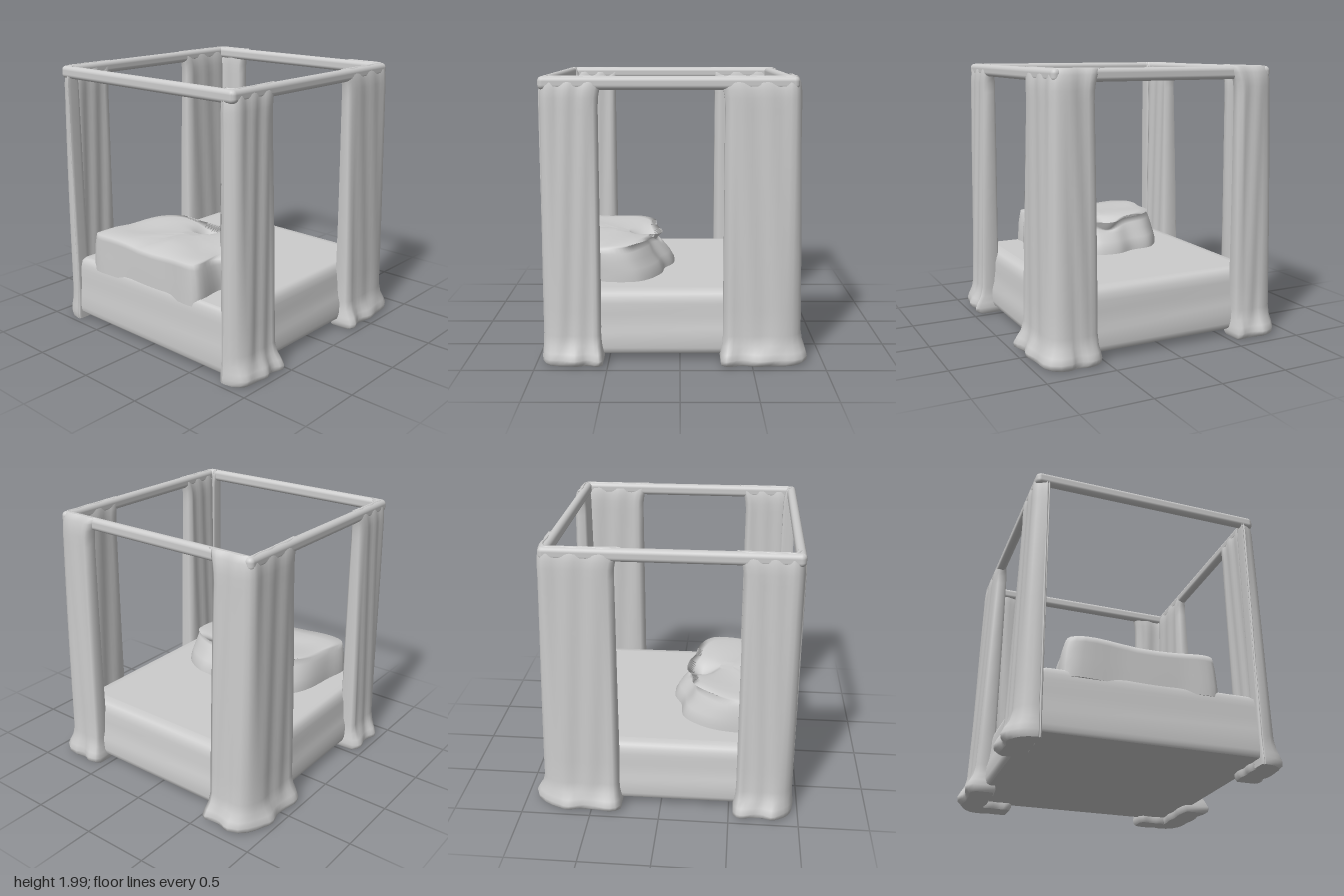
import * as THREE from 'three';
import { RoundedBoxGeometry } from 'three/addons/geometries/RoundedBoxGeometry.js';

const material = new THREE.MeshStandardMaterial({ color: 0xcccccc });

function add(group, name, geometry) {
  const mesh = new THREE.Mesh(geometry, material);
  mesh.name = name;
  group.add(mesh);
  return mesh;
}

// Smooth skin over stacked rings of Vector3 (bottom to top), with flat caps
function loft(rings) {
  const flat = (ring) => ring.map((p) => new THREE.Vector2(p.x, p.z));
  if (THREE.ShapeUtils.area(flat(rings[0])) > 0) rings.forEach((r) => r.reverse());
  const n = rings[0].length, pos = [], index = [];
  rings.forEach((ring) => ring.forEach((p) => pos.push(p.x, p.y, p.z)));
  for (let j = 0; j < rings.length - 1; j++) {
    for (let i = 0; i < n; i++) {
      const a = j * n + i, b = j * n + (i + 1) % n;
      index.push(a, b, b + n, a, b + n, a + n);
    }
  }
  for (const [ring, isTop] of [[rings[0], false], [rings[rings.length - 1], true]]) {
    const base = pos.length / 3, pts = flat(ring);
    ring.forEach((p) => pos.push(p.x, p.y, p.z));
    for (const [a, b, c] of THREE.ShapeUtils.triangulateShape(pts, [])) {
      const up = THREE.ShapeUtils.area([pts[a], pts[b], pts[c]]) < 0;
      if (up === isTop) index.push(base + a, base + b, base + c);
      else index.push(base + a, base + c, base + b);
    }
  }
  const geometry = new THREE.BufferGeometry();
  geometry.setAttribute('position', new THREE.Float32BufferAttribute(pos, 3));
  geometry.setIndex(index);
  geometry.computeVertexNormals();
  return geometry;
}

// Rounded rectangle ring at height y
function rectRing(x0, x1, z0, z1, r, y) {
  const ring = [];
  const corners = [[x1 - r, z1 - r], [x0 + r, z1 - r], [x0 + r, z0 + r], [x1 - r, z0 + r]];
  corners.forEach(([cx, cz], k) => {
    for (let i = 0; i <= 4; i++) {
      const a = (k + i / 4) * Math.PI / 2;
      ring.push(new THREE.Vector3(cx + r * Math.cos(a), y, cz + r * Math.sin(a)));
    }
  });
  return ring;
}

// Curtain wrapped round a corner: a panel along x and a return along z
function curtain(cornerX, innerX, side, returnZ, flareX) {
  const cz = 0.815, r = 0.04, sx = Math.sign(cornerX);
  const levels = [[0.01, 0.02], [0.03, 0.045], [0.06, 0.05], [0.1, 0.035], [0.15, 0.012],
    [0.22, 0], [0.4, 0], [0.6, 0], [0.8, 0], [1, 0], [1.2, 0], [1.4, 0], [1.6, 0],
    [1.78, 0], [1.85, 0], [1.9, -0.004], [1.95, -0.012], [1.98, -0.025], [1.995, -0.04]];
  const rings = levels.map(([y, hem]) => {
    const spread = y > 1.8 ? 0.05 * ((y - 1.8) / 0.195) ** 2 : hem * 0.4;
    const start = innerX - sx * spread, endZ = returnZ - (returnZ < 0.7 ? spread : 0);
    // Centre line with outward normals
    const line = [];
    for (let i = 0; i <= 12; i++) line.push([start + (cornerX - sx * r - start) * i / 12, cz, 0, 1]);
    for (let i = 1; i < 4; i++) {
      const a = i * Math.PI / 8;
      line.push([cornerX - sx * r * (1 - Math.sin(a)), cz - r * (1 - Math.cos(a)), sx * Math.sin(a), Math.cos(a)]);
    }
    for (let i = 0; i <= 8; i++) line.push([cornerX, cz - r + (endZ - cz + r) * i / 8, sx, 0]);
    const outer = [], inner = [];
    line.forEach(([x, z, nx, nz], i) => {
      const end = i === 0 || i === line.length - 1 ? 0.6 : 1;
      const wave = 0.005 * Math.sin(i * 1.3 + y * 2);
      const ripple = 1 + 0.35 * Math.sin(i * 0.9 + side);
      const flare = Math.max(0, 1.8 - y) * 0.027 + Math.max(hem, 0) * ripple;
      const o = 0.045 * end + Math.min(hem, 0) + wave;
      const q = 0.045 * end + Math.min(hem, 0) + Math.max(hem, 0) * 0.4 - wave;
      outer.push(new THREE.Vector3(x + nx * (o + flare * flareX), y, side * (z + nz * (o + flare))));
      inner.push(new THREE.Vector3(x - nx * q, y, side * (z - nz * q)));
    });
    return [...outer, ...inner.reverse()];
  });
  return loft(rings);
}

// Heap of pillows: soft outline narrowing to a lumpy top
function pillows() {
  const outline = [[-0.9, -0.6], [-0.65, -0.59], [-0.4, -0.56], [-0.26, -0.5], [-0.13, -0.38], [-0.1, -0.2],
    [-0.04, -0.06], [-0.05, 0.08], [-0.11, 0.2], [-0.13, 0.34], [-0.22, 0.5], [-0.32, 0.57],
    [-0.55, 0.565], [-0.65, 0.48], [-0.9, 0.48], [-0.91, 0.2], [-0.91, -0.2]]
    .map(([x, z]) => new THREE.Vector3(x, 0, z));
  const edge = new THREE.CatmullRomCurve3(outline, true, 'centripetal').getPoints(96).slice(0, -1);
  // Height, x scale, z scale
  const levels = [[0.46, 1, 1], [0.54, 0.99, 1], [0.6, 0.95, 0.99], [0.66, 0.89, 0.98], [0.71, 0.86, 0.96],
    [0.75, 0.81, 0.94], [0.765, 0.75, 0.89], [0.77, 0.6, 0.75], [0.768, 0.45, 0.55], [0.765, 0.28, 0.35], [0.765, 0.1, 0.12]];
  return loft(levels.map(([y, kx, kz], j) => edge.map((p) => {
    const back = p.x < -0.86 ? -0.9 : -0.88;
    // The back stays upright until the top rings close in
    const close = j < 6 ? 0 : (1 - kx) * 0.45;
    const x = back + (p.x - back) * kx + close, z = p.z * kz;
    const dent = 0.09 * Math.exp(-(((x + 0.25) / 0.09) ** 2) - ((z + 0.02) / 0.09) ** 2);
    const crease = 0.025 * Math.exp(-(((x + 0.72) / 0.12) ** 2) - ((z + 0.1) / 0.04) ** 2);
    const lump = 0.012 * Math.sin(x * 9 + 1) * Math.cos(z * 8);
    return new THREE.Vector3(x, j < 4 ? y : y - dent - crease + lump, z);
  })));
}

export function createModel() {
  const group = new THREE.Group();

  // Bed base and mattress: height, inset
  const profile = [[0.06, 0.03], [0.075, 0.01], [0.11, 0], [0.2, 0.003], [0.26, 0.02], [0.34, 0.03],
    [0.42, 0.035], [0.46, 0.045], [0.49, 0.06], [0.505, 0.085], [0.51, 0.13]];
  add(group, 'bedBase', loft(profile.map(([y, d]) =>
    rectRing(-0.94 + d * 0.5, 0.79 - d, -0.84 + d, 0.84 - d, 0.05, y))));

  add(group, 'pillows', pillows());

  // Canopy rails
  for (const side of [1, -1]) {
    const rail = add(group, side > 0 ? 'frontRail' : 'backRail', new RoundedBoxGeometry(1.73, 0.09, 0.07, 4, 0.033));
    rail.position.set(-0.075, 1.947, side * 0.815);
  }
  for (const [name, x] of [['leftRail', 0.752], ['rightRail', -0.91]]) {
    const rail = add(group, name, new RoundedBoxGeometry(0.065, 0.09, 1.69, 4, 0.031));
    rail.position.set(x, 1.947, 0);
  }

  // Corner curtains
  for (const side of [1, -1]) {
    const end = side > 0 ? 'front' : 'back';
    add(group, end + 'LeftCurtain', curtain(0.772, 0.3, side, 0.56, side > 0 ? 0.7 : 1));
    add(group, end + 'RightCurtain', curtain(-0.9, -0.55, side, 0.75, 0.15));
  }
  return group;
}
